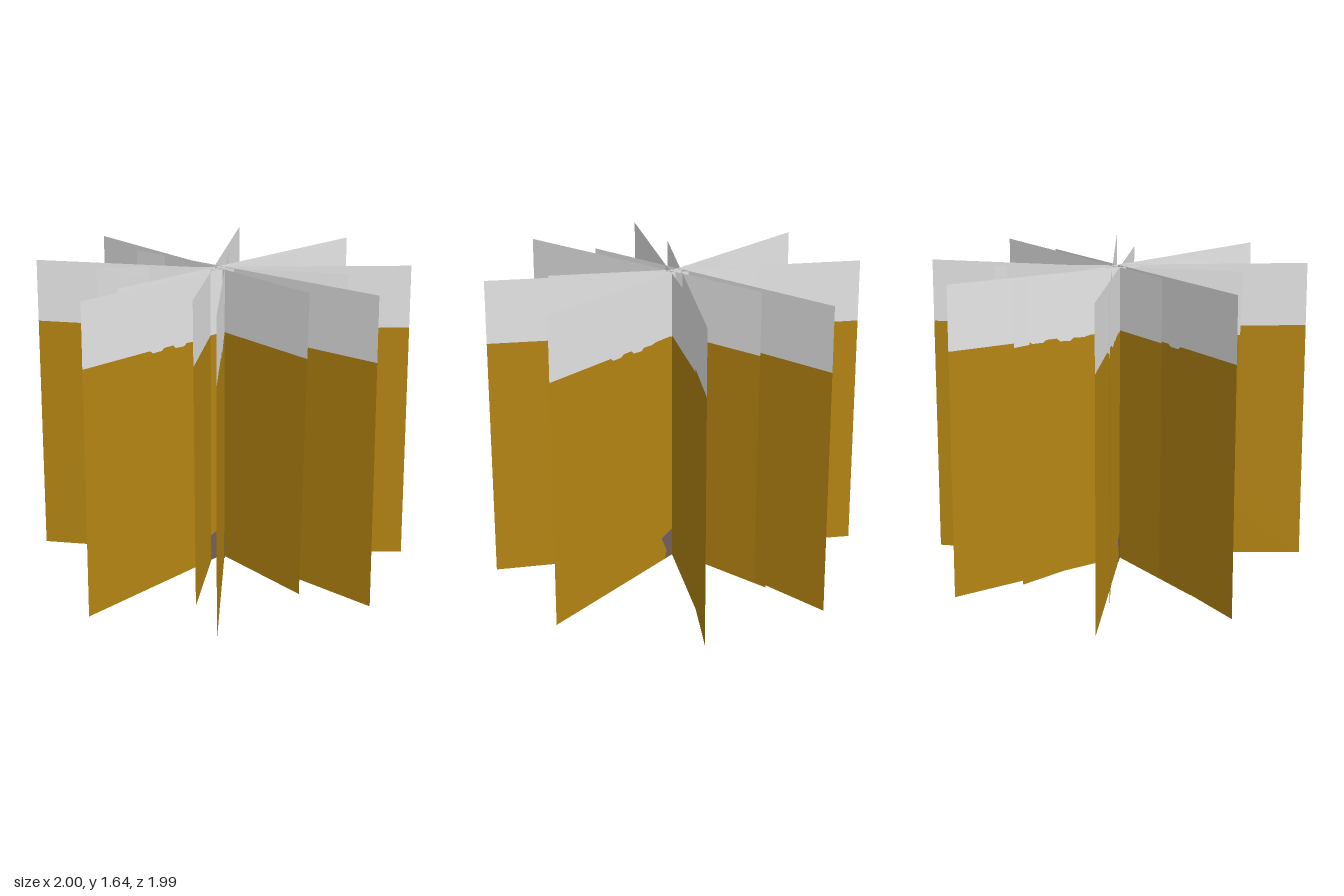
import * as THREE from 'three';

const SIZE = 1.62;    // side of each square panel
const LEAN = 0.0154;  // small in-plane lean of each panel

// outer bottom corner (x, z) and turn about y in degrees
const PANELS = [
  [-1, 0.08, 3.2], [-0.71, 0.7, 43.5], [0.09, 0.99, 93.6], [0.7, 0.71, 133.5],
  [1, 0.01, 177.5], [0.78, -0.645, 217.3], [0.02, -1, 268], [-0.63, -0.77, 308.5],
];

// uneven line between the two colours, from the outer edge to the inner one
const EDGE = [
  [0, 1.292], [0.44, 1.29], [0.46, 1.275], [0.52, 1.275], [0.54, 1.287], [0.6, 1.287],
  [0.62, 1.27], [0.68, 1.266], [0.7, 1.28], [0.76, 1.276], [0.8, 1.284], [0.92, 1.284],
  [0.94, 1.27], [0.98, 1.272], [1, 1.288], [SIZE, 1.29],
];

// root patch outline, low and near the axis
const ROOT = [
  [0.88, 0.004], [0.895, 0.05], [0.85, 0.14], [0.96, 0.172],
  [0.99, 0.205], [1.0, 0.09], [1.045, 0.04], [1.04, 0.004],
];

const flat = (points) =>
  new THREE.ShapeGeometry(new THREE.Shape(points.map(([x, y]) => new THREE.Vector2(x, y))));

function material(name, color, side) {
  const m = new THREE.MeshStandardMaterial({ color, side });
  m.name = name;
  return m;
}

export function createModel() {
  const model = new THREE.Group();
  model.name = 'crossedPanels';

  const gold = material('gold', 0xb58512, THREE.DoubleSide);
  const paleGrey = material('paleGrey', 0xe6e6e6, THREE.DoubleSide);
  const darkPlum = material('darkPlum', 0x755f5e, THREE.FrontSide);

  const lowerGeometry = flat([[0, 0], [SIZE, 0], ...[...EDGE].reverse()]);
  const upperGeometry = flat([...EDGE, [SIZE, SIZE], [0, SIZE]]);
  const rootGeometry = flat(ROOT);

  const add = (parent, name, geometry, mat) => {
    const mesh = new THREE.Mesh(geometry, mat);
    mesh.name = name;
    parent.add(mesh);
    return mesh;
  };

  // eight upright panels fanned about the axis
  for (const [x, z, turn] of PANELS) {
    const panel = new THREE.Group();
    panel.name = 'panel';
    panel.position.set(x, 0.0265, z);
    panel.rotation.set(0, THREE.MathUtils.degToRad(turn), -LEAN);
    add(panel, 'lowerPanel', lowerGeometry, gold);
    add(panel, 'upperBand', upperGeometry, paleGrey);
    // the patch lies on one face only
    add(panel, 'rootPatch', rootGeometry, darkPlum).position.z = 0.003;
    model.add(panel);
  }
  return model;
}
